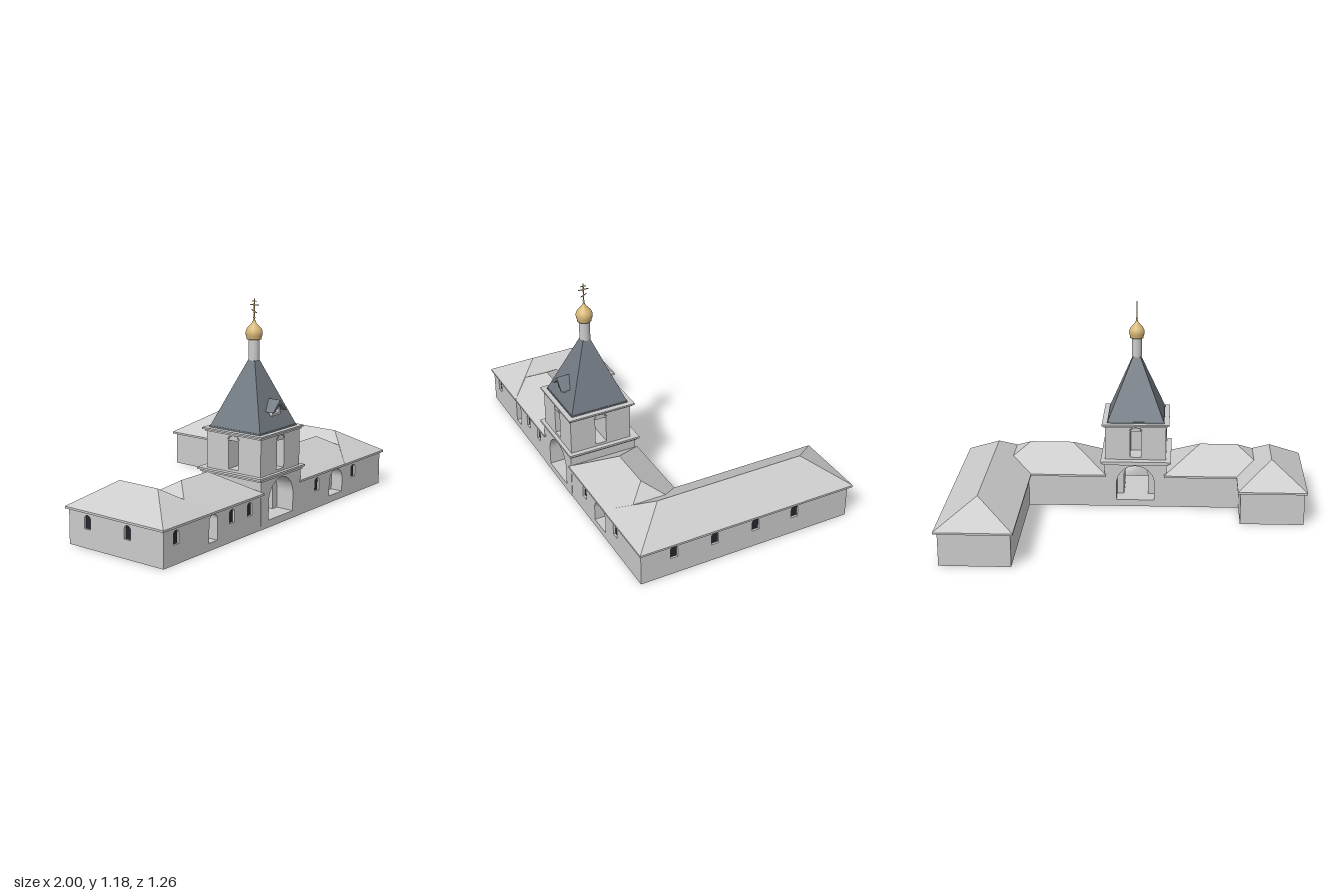
import * as THREE from 'three';

const mat = (color, extra = {}) => new THREE.MeshStandardMaterial({ color, ...extra });
const GREY = mat(0xcccccc);
const FLAT = mat(0xcccccc, { flatShading: true, side: THREE.DoubleSide });
const SLATE = mat(0x727a82, { flatShading: true });
const GOLD = mat(0xd8b878);
const DARK = mat(0x23272e);

const WALL = 0.187, EAVE = 0.198, RIDGE = 0.325;
const CX = -0.025, CZ = 0.422; // tower axis

export function createModel() {
  const model = new THREE.Group();

  const add = (name, geometry, material = GREY, parent = model) => {
    const mesh = new THREE.Mesh(geometry, material);
    mesh.name = name;
    parent.add(mesh);
    return mesh;
  };

  // box given by its two extreme corners
  const box = (name, x0, x1, y0, y1, z0, z1, material = GREY) => {
    const m = add(name, new THREE.BoxGeometry(x1 - x0, y1 - y0, z1 - z0), material);
    m.position.set((x0 + x1) / 2, (y0 + y1) / 2, (z0 + z1) / 2);
    return m;
  };

  // round-headed opening outline, centred on x = c
  const arch = (c, w, y0, y1, Type = THREE.Path) => {
    const r = w / 2, p = new Type();
    p.moveTo(c - r, y0);
    p.lineTo(c + r, y0);
    p.lineTo(c + r, y1 - r);
    p.absarc(c, y1 - r, r, 0, Math.PI, false);
    p.closePath();
    return p;
  };

  // upright wall with arched holes, extruded towards +z
  const wallGeometry = (x0, x1, h, depth, holes) => {
    const s = new THREE.Shape();
    s.moveTo(x0, 0);
    s.lineTo(x1, 0);
    s.lineTo(x1, h);
    s.lineTo(x0, h);
    s.closePath();
    s.holes.push(...holes);
    return new THREE.ExtrudeGeometry(s, { depth, bevelEnabled: false, curveSegments: 12 });
  };

  // outer wall with windows and door niches, turned about y
  const DEPTH = 0.07;
  const facade = (name, x0, x1, windows, doors, position, turn = 0) => {
    const g = new THREE.Group();
    g.name = name;
    const holes = [...windows.map(x => arch(x, 0.042, 0.1, 0.172)),
      ...doors.map(([x, w]) => arch(x, w, 0.04, 0.182))];
    add(name + 'Panel', wallGeometry(x0, x1, WALL, DEPTH, holes), GREY, g);
    for (const x of windows) {
      const pane = add('windowPane', new THREE.ShapeGeometry(arch(x, 0.042, 0.1, 0.172, THREE.Shape)), DARK, g);
      pane.position.z = DEPTH - 0.012;
    }
    g.position.set(...position);
    g.rotation.y = turn;
    model.add(g);
  };

  // hipped roof over a rectangle, ridge from r0 to r1 along one axis
  const hipRoof = (name, x0, x1, z0, z1, axis, r0, r1) => {
    const mx = (x0 + x1) / 2, mz = (z0 + z1) / 2;
    const corners = [[x0, z0], [x1, z0], [x1, z1], [x0, z1]].map(([x, z]) => [x, EAVE, z]);
    const low = axis === 'x' ? [r0, RIDGE, mz] : [mx, RIDGE, r0];
    const high = axis === 'x' ? [r1, RIDGE, mz] : [mx, RIDGE, r1];
    const tops = axis === 'x' ? [low, high, high, low] : [low, low, high, high];
    const pos = [];
    for (let i = 0; i < 4; i++) {
      const j = (i + 1) % 4;
      pos.push(...corners[j], ...corners[i], ...tops[i]);
      if (tops[i] !== tops[j]) pos.push(...corners[j], ...tops[i], ...tops[j]);
    }
    const geo = new THREE.BufferGeometry();
    geo.setAttribute('position', new THREE.Float32BufferAttribute(pos, 3));
    geo.computeVertexNormals();
    add(name, geo, FLAT);
    box(name + 'Eave', x0, x1, WALL, EAVE, z0, z1);
  };

  // wall cores
  const FRONT = 0.612;
  const inner = FRONT - DEPTH;
  box('rightWingCore', 0.595, 0.98 - DEPTH, 0, WALL, -0.615, inner);
  box('leftWingCore', -0.985 + DEPTH, -0.625, 0, WALL, -0.005, inner);
  box('rangeCore', 0.155, 0.6, 0, WALL, 0.228, inner);
  box('rangeCore', -0.63, -0.205, 0, WALL, 0.228, inner);

  // outer walls
  facade('frontWallLeft', -0.985, -0.205, [-0.89, -0.45, -0.3], [[-0.602, 0.066]], [0, 0, inner]);
  facade('frontWallRight', 0.155, 0.98, [0.32, 0.69], [[0.51, 0.13]], [0, 0, inner]);
  facade('longSideWall', -inner, 0.615, [-0.425, -0.19, 0.05, 0.287], [], [0.98 - DEPTH, 0, 0], Math.PI / 2);
  facade('shortSideWall', -0.005, inner, [0.12, 0.385], [], [-0.985 + DEPTH, 0, 0], -Math.PI / 2);

  // roofs
  hipRoof('longWingRoof', 0.58, 1, -0.635, 0.625, 'z', -0.43, 0.42);
  hipRoof('shortWingRoof', -1, -0.61, -0.02, 0.625, 'z', 0.175, 0.425);
  hipRoof('rangeRoof', 0.145, 0.81, 0.21, 0.624, 'x', 0.35, 0.6);
  hipRoof('rangeRoof', -0.82, -0.19, 0.21, 0.624, 'x', -0.615, -0.4);

  // gatehouse: wide arch at both faces, narrower passage between
  const gate = [[0.228, 0.1, 0.22, 0.25], [0.328, 0.182, 0.14, 0.225], [0.51, 0.104, 0.22, 0.25]];
  for (const [z, depth, w, top] of gate) {
    add('gatehouse', wallGeometry(-0.205, 0.155, 0.27, depth, [arch(CX, w, 0.04, top)])).position.z = z;
  }
  box('gateCorniceLower', -0.215, 0.165, 0.258, 0.27, 0.218, 0.619);
  box('gateCornice', -0.23, 0.177, 0.27, 0.281, 0.21, 0.626);

  // belfry: four corner piers between sill and lintel
  const H = 0.176, O = 0.032;
  box('belfrySill', CX - H, CX + H, 0.28, 0.295, CZ + 0.008 - H, CZ + 0.008 + H);
  box('belfryLintel', CX - H, CX + H, 0.45, 0.49, CZ + 0.008 - H, CZ + 0.008 + H);
  for (const sx of [-1, 1]) for (const sz of [-1, 1]) {
    const m = add('belfryPier', new THREE.BoxGeometry(H - O, 0.155, H - O));
    m.position.set(CX + sx * (H + O) / 2, 0.3725, CZ + 0.008 + sz * (H + O) / 2);
  }
  box('belfryBackPanel', CX - O, CX + O, 0.295, 0.45, 0.375, 0.396);
  for (let i = 0; i < 4; i++) {
    const pivot = new THREE.Group();
    pivot.name = 'openingHood';
    pivot.position.set(CX, 0.444, CZ + 0.008);
    pivot.rotation.y = i * Math.PI / 2;
    const hood = add('hoodMould', new THREE.TorusGeometry(0.036, 0.004, 4, 12, Math.PI * 0.8), GREY, pivot);
    hood.rotation.z = Math.PI * 0.1;
    hood.position.z = H;
    model.add(pivot);
  }
  box('belfryCorniceLower', CX - 0.183, CX + 0.183, 0.48, 0.49, CZ - 0.177, CZ + 0.191);
  box('belfryCornice', CX - 0.194, CX + 0.194, 0.49, 0.499, CZ - 0.189, CZ + 0.197);

  // tent roof
  const tent = add('tentRoof', new THREE.CylinderGeometry(0.02 * Math.SQRT2, 0.163 * Math.SQRT2, 0.355, 4), SLATE);
  tent.rotation.y = 0;
  tent.geometry.rotateY(Math.PI / 4);
  tent.position.set(CX, 0.6825, CZ + 0.005);
  box('tentRoofEave', CX - 0.165, CX + 0.165, 0.499, 0.507, CZ - 0.16, CZ + 0.17, SLATE);

  // dormer with gable roof and arched frame
  const gable = new THREE.Shape([[-0.062, 0.602], [-0.045, 0.602], [0, 0.642], [0.045, 0.602],
    [0.062, 0.602], [0, 0.662]].map(p => new THREE.Vector2(...p)));
  const dormerRoof = add('dormerRoof', new THREE.ExtrudeGeometry(gable, { depth: 0.09, bevelEnabled: false }), SLATE);
  dormerRoof.position.set(CX, 0, 0.51);
  const frame = arch(0, 0.07, 0.578, 0.632, THREE.Shape);
  frame.holes.push(arch(0, 0.046, 0.588, 0.621));
  const dormerFrame = add('dormerFrame', new THREE.ExtrudeGeometry(frame, { depth: 0.065, bevelEnabled: false }));
  dormerFrame.position.set(CX, 0, 0.513);

  // drum, onion dome
  const drum = add('drum', new THREE.CylinderGeometry(0.029, 0.029, 0.12, 24));
  drum.position.set(CX, 0.915, CZ + 0.005);
  const profile = [[0.029, 0.965], [0.039, 0.966], [0.039, 0.974], [0.043, 0.985], [0.045, 0.999],
    [0.043, 1.012], [0.036, 1.026], [0.024, 1.039], [0.013, 1.05], [0.006, 1.063], [0.003, 1.08], [0, 1.082]];
  const dome = add('onionDome', new THREE.LatheGeometry(profile.map(p => new THREE.Vector2(...p)), 28), GOLD);
  dome.position.set(CX, 0, CZ + 0.005);
  const ball = add('finialBall', new THREE.SphereGeometry(0.006, 12, 8), GOLD);
  ball.position.set(CX, 1.08, CZ + 0.005);

  // cross, arms along z
  const bar = (name, h, len, y, tilt = 0) => {
    const m = add(name, new THREE.BoxGeometry(0.004, h, len), GOLD);
    m.position.set(CX, y, CZ + 0.005);
    m.rotation.x = tilt;
  };
  bar('crossPost', 0.1, 0.005, 1.13);
  bar('crossTopArm', 0.004, 0.03, 1.166);
  bar('crossMainArm', 0.004, 0.056, 1.147);
  bar('crossFootArm', 0.004, 0.036, 1.113, 0.42);
  return model;
}
